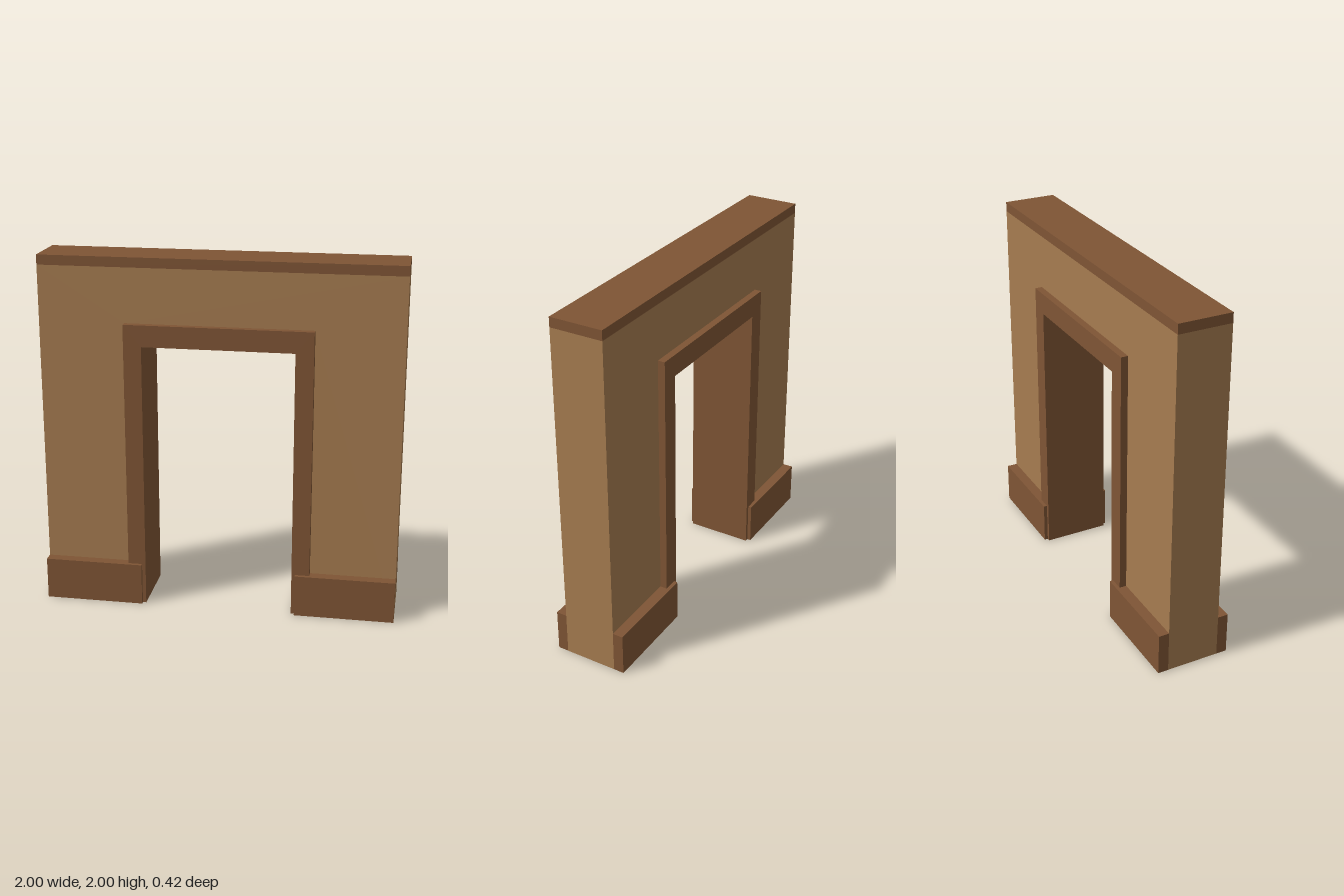
import * as THREE from 'three';

export function createModel() {
  const model = new THREE.Group();
  model.name = 'doorway';

  const plaster = new THREE.MeshStandardMaterial({ color: 0xa67c50 });
  plaster.name = 'tan plaster';
  const wood = new THREE.MeshStandardMaterial({ color: 0x7f5535 });
  wood.name = 'brown wood';

  const add = (name, geometry, material) => {
    const mesh = new THREE.Mesh(geometry, material);
    mesh.name = name;
    model.add(mesh);
    return mesh;
  };

  // Upside-down U outline, extruded evenly about z = 0
  const arch = (outerX, outerY, innerX, innerY, depth) => {
    const shape = new THREE.Shape([
      [-outerX, 0], [-innerX, 0], [-innerX, innerY], [innerX, innerY],
      [innerX, 0], [outerX, 0], [outerX, outerY], [-outerX, outerY],
    ].map(([x, y]) => new THREE.Vector2(x, y)));
    const geometry = new THREE.ExtrudeGeometry(shape, { depth, bevelEnabled: false });
    return geometry.translate(0, 0, -depth / 2);
  };

  // Wall around the opening, and the frame that lines it
  add('wall', arch(1, 1.945, 0.52, 1.64, 0.3), plaster);
  add('doorFrame', arch(0.52, 1.64, 0.42, 1.52, 0.38), wood);

  // Cap strip along the top
  add('topCap', new THREE.BoxGeometry(2, 0.055, 0.3), wood).position.y = 1.9725;

  // Skirting boards on both faces, both sides of the opening
  for (const [sideName, sx] of [['left', 1], ['right', -1]]) {
    for (const [faceName, sz] of [['Front', 1], ['Back', -1]]) {
      const board = add(sideName + faceName + 'Skirting', new THREE.BoxGeometry(0.56, 0.24, 0.06), wood);
      board.position.set(sx * 0.72, 0.12, sz * 0.18);
    }
  }

  return model;
}
